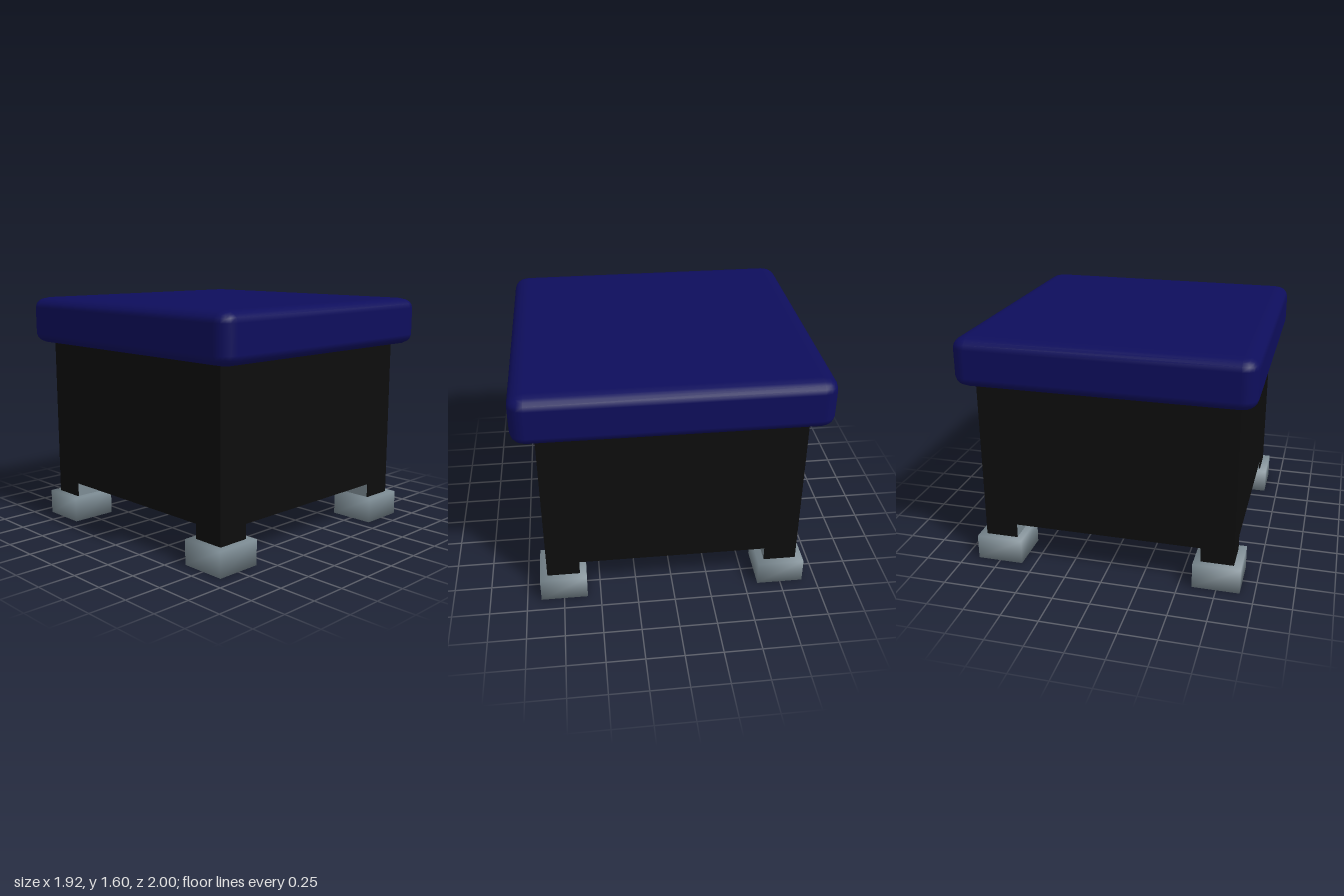
import * as THREE from 'three';
import { mergeVertices } from 'three/addons/utils/BufferGeometryUtils.js';
import { RoundedBoxGeometry } from 'three/addons/geometries/RoundedBoxGeometry.js';

function material(name, color) {
  const m = new THREE.MeshStandardMaterial({ color });
  m.name = name;
  return m;
}

// Box whose corner normals are averaged for soft shading
function softBox(w, h, d) {
  const box = new THREE.BoxGeometry(w, h, d);
  box.deleteAttribute('normal');
  box.deleteAttribute('uv');
  const soft = mergeVertices(box);
  soft.computeVertexNormals();
  return soft;
}

export function createModel() {
  const model = new THREE.Group();
  model.name = 'footstool';

  const blue = material('navy upholstery', 0x0e0e5c);
  const black = material('black cover', 0x0d0d0d);
  const grey = material('grey metal', 0x7c8b93);

  function add(name, geometry, mat, x, y, z) {
    const mesh = new THREE.Mesh(geometry, mat);
    mesh.name = name;
    mesh.position.set(x, y, z);
    model.add(mesh);
    return mesh;
  }

  // Padded seat: bevels are a little flatter vertically than sideways
  const squash = 0.7;
  const cushion = new RoundedBoxGeometry(1.92, 0.325 / squash, 2, 2, 0.1);
  cushion.scale(1, squash, 1);
  add('cushion', cushion, blue, 0, 1.4385, 0);

  // Boxy body with a closed underside
  const half = 0.855, skin = 0.008, legInner = 0.635;
  const core = 2 * (half - skin);
  add('body', new THREE.BoxGeometry(core, 1.01, core), black, 0, 0.775, 0);

  // Cover panel with a notch between the legs
  const outline = new THREE.Shape([
    [-half, 0.17], [-legInner, 0.17], [-legInner, 0.268], [legInner, 0.268],
    [legInner, 0.17], [half, 0.17], [half, 1.28], [-half, 1.28],
  ].map(([x, y]) => new THREE.Vector2(x, y)));
  const panel = new THREE.ExtrudeGeometry(outline, { depth: skin, bevelEnabled: false });
  panel.translate(0, 0, half - skin);
  ['front', 'left', 'back', 'right'].forEach((side, i) => {
    add(side + 'Panel', panel, black, 0, 0, 0).rotation.y = i * Math.PI / 2;
  });

  // Metal posts and block feet at the four corners
  const postSize = half - skin - legInner;
  const postGeometry = new THREE.BoxGeometry(postSize, 0.12, postSize);
  const footGeometry = softBox(0.315, 0.17, 0.315);
  for (const sx of [-1, 1]) {
    for (const sz of [-1, 1]) {
      const corner = (sz > 0 ? 'front' : 'back') + (sx > 0 ? 'Left' : 'Right');
      const p = legInner + postSize / 2;
      add(corner + 'Post', postGeometry, grey, sx * p, 0.22, sz * p);
      add(corner + 'Foot', footGeometry, grey, sx * 0.7475, 0.085, sz * 0.7475);
    }
  }
  return model;
}
